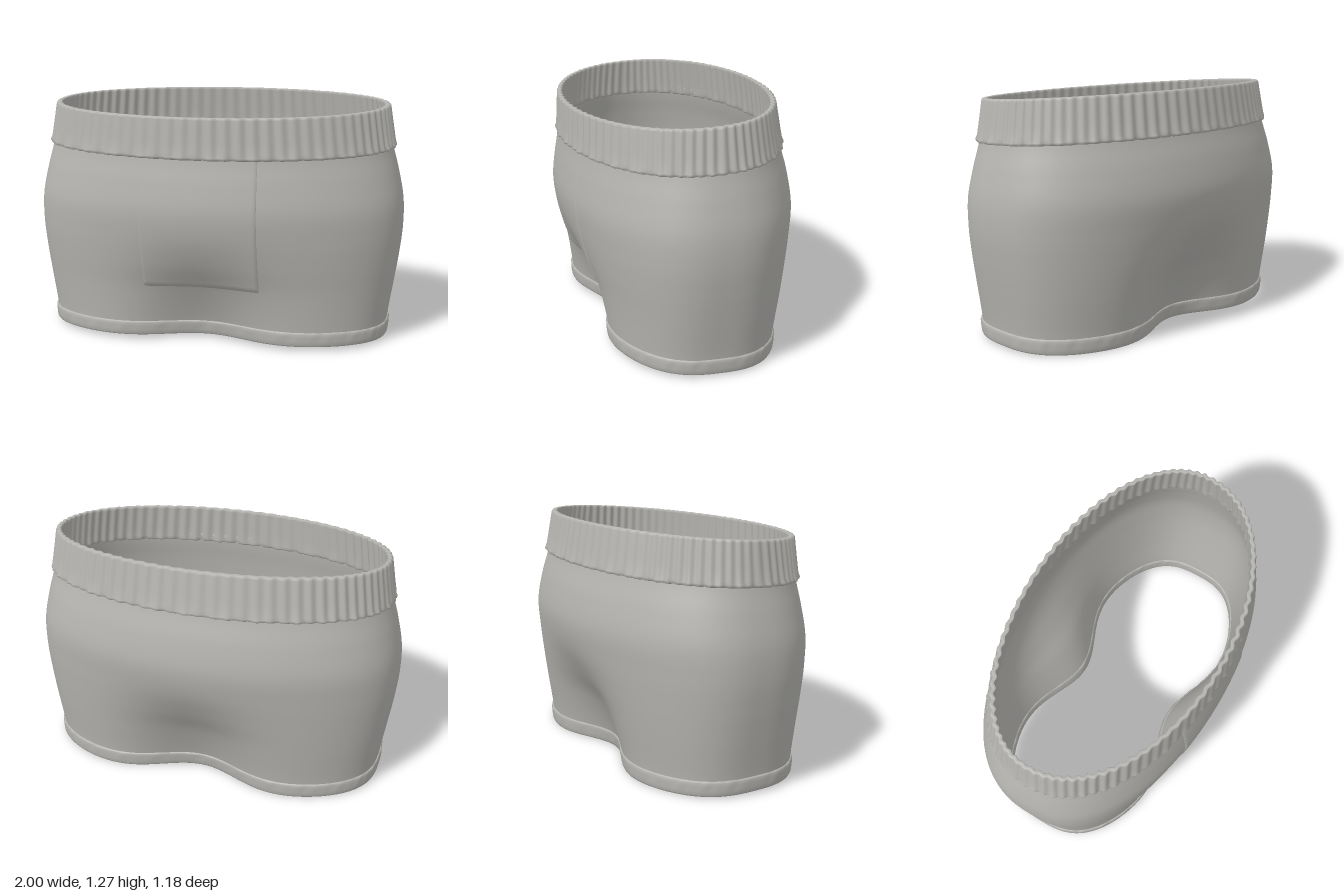
import * as THREE from 'three';

// Cross-section table: height, half width, front depth, back depth, front pinch, back pinch, squareness
const LEVELS = [
  [0.00, 0.925, 0.495, 0.495, 0.185, 0.205, 0.72],
  [0.10, 0.930, 0.500, 0.500, 0.170, 0.190, 0.72],
  [0.30, 0.960, 0.520, 0.530, 0.105, 0.135, 0.74],
  [0.45, 0.982, 0.545, 0.552, 0.045, 0.065, 0.77],
  [0.60, 0.997, 0.567, 0.572, 0.008, 0.012, 0.80],
  [0.75, 0.994, 0.582, 0.588, 0, 0, 0.83],
  [0.90, 0.965, 0.570, 0.566, 0, 0, 0.87],
  [1.03, 0.932, 0.552, 0.530, 0, 0, 0.90],
  [1.25, 0.895, 0.541, 0.490, 0, 0, 0.94],
];

// Smooth interpolation down the table
function section(h) {
  let i = 0;
  while (i < LEVELS.length - 2 && h > LEVELS[i + 1][0]) i++;
  const p = LEVELS[i], q = LEVELS[i + 1];
  const o = LEVELS[Math.max(i - 1, 0)], r = LEVELS[Math.min(i + 2, LEVELS.length - 1)];
  const d = q[0] - p[0], t = (h - p[0]) / d, t2 = t * t, t3 = t2 * t;
  return p.map((v, k) => {
    const m0 = (q[k] - o[k]) / (q[0] - o[0]) * d;
    const m1 = (r[k] - v) / (r[0] - p[0]) * d;
    return (2 * t3 - 3 * t2 + 1) * v + (t3 - 2 * t2 + t) * m0 + (3 * t2 - 2 * t3) * q[k] + (t3 - t2) * m1;
  });
}

// Point on the garment surface, pushed out by off; levels tilt down to the front at the waist
function point(angle, h, off) {
  const [, a, front, back, pinchF, pinchB, power] = section(h);
  const c = Math.cos(angle), s = Math.sin(angle);
  const b = s > 0 ? front : back, pinch = s > 0 ? pinchF : pinchB;
  const x = a * c;
  const crease = Math.max(pinch, 0) * Math.exp(-((x / 0.32) ** 2));
  const z = Math.sign(s) * (b * Math.abs(s) ** power - crease);
  const n = Math.hypot(c / a, s / b);
  return [x + off * c / a / n, h + z * (0.028 - 0.072 * h), z + off * s / b / n];
}

// Mesh through a grid of points, optionally closed around (u) and along the profile (v)
function gridGeometry(nu, nv, closeU, closeV, fn) {
  const pos = [], index = [];
  for (let j = 0; j < nv; j++) for (let i = 0; i < nu; i++) pos.push(...fn(i, j));
  for (let j = 0; j < (closeV ? nv : nv - 1); j++) {
    for (let i = 0; i < (closeU ? nu : nu - 1); i++) {
      const i1 = (i + 1) % nu, j1 = (j + 1) % nv;
      const a = j * nu + i, b = j1 * nu + i, c = j * nu + i1, d = j1 * nu + i1;
      index.push(a, b, c, c, b, d);
    }
  }
  const g = new THREE.BufferGeometry();
  g.setAttribute('position', new THREE.Float32BufferAttribute(pos, 3));
  g.setIndex(index);
  g.computeVertexNormals();
  return g;
}

// Closed shell swept around the body from a profile of [height, offset]
function shell(profile, around, ripple = () => 0) {
  return gridGeometry(around, profile.length, true, true, (i, j) => {
    const angle = i / around * Math.PI * 2, [h, off] = profile[j];
    return point(angle, h, off + ripple(angle, h));
  });
}

export function createModel() {
  const model = new THREE.Group();
  const fabric = new THREE.MeshStandardMaterial({ color: 0xb5b4b0 });
  fabric.name = 'grey knit fabric';
  const add = (name, geometry) => {
    const mesh = new THREE.Mesh(geometry, fabric);
    mesh.name = name;
    model.add(mesh);
  };

  // Main body, outside up and inside down
  const rows = 44, outer = [], inner = [];
  for (let j = 0; j <= rows; j++) {
    const h = 0.05 + j / rows * 1.03;
    outer.push([h, 0]);
    inner.unshift([h, -0.012]);
  }
  add('body', shell([...outer, ...inner], 200));

  // Ribbed waistband
  const ribs = (angle, h) => {
    const strength = 0.0045 + 0.0012 * Math.sin(angle * 5 + 1);
    const pucker = h < 1.06 ? 0.003 * Math.sin(angle * 31) : 0;
    return strength * Math.cos(angle * 80) + pucker;
  };
  add('waistband', shell([
    [1.036, -0.006], [1.030, 0.004], [1.034, 0.012], [1.045, 0.015], [1.06, 0.012], [1.12, 0.012],
    [1.18, 0.012], [1.235, 0.012], [1.244, 0.011], [1.249, 0.007],
    [1.249, -0.007], [1.244, -0.011], [1.235, -0.012], [1.12, -0.014], [1.06, -0.018], [1.045, -0.020], [1.036, -0.016],
  ], 640, ribs));

  // Rolled hem with a slightly puckered seam
  const pucker = (angle, h) => (h > 0.07 ? 0.0025 * Math.sin(angle * 47) * Math.sin(angle * 13) : 0);
  add('hem', shell([
    [0.020, 0.000], [0.022, 0.005], [0.030, 0.009], [0.050, 0.011], [0.075, 0.010], [0.090, 0.009], [0.098, 0.004], [0.100, -0.004],
    [0.098, -0.016], [0.085, -0.018], [0.050, -0.018], [0.028, -0.016], [0.020, -0.012],
  ], 260, pucker));

  // Shallow raised panel on the front, with stepped edges
  const nu = 40, nv = 34;
  add('frontPanel', gridGeometry(nu, nv, false, false, (i, j) => {
    const u = THREE.MathUtils.clamp((i - 1) / (nu - 3), 0, 1);
    const v = THREE.MathUtils.clamp((j - 1) / (nv - 2), 0, 1);
    const edge = i === 0 || i === nu - 1 || j === 0;
    const h = 0.325 + v * 0.705 + (j === 0 ? -0.012 : 0);
    const half = 0.3 + (i === 0 || i === nu - 1 ? 0.006 : 0);
    const angle = Math.acos((1 - 2 * u) * -half / section(h)[1]);
    const lift = 0.004 + 0.005 * Math.max(0, 1 - v * 1.1);
    return point(angle, h, edge ? -0.003 : lift);
  }).toNonIndexed());
  // Panel columns run left to right, so turn its faces outward
  const panel = model.children[model.children.length - 1].geometry;
  for (const key of ['position', 'normal']) {
    const at = panel.attributes[key], p = new THREE.Vector3(), q = new THREE.Vector3();
    for (let k = 0; k < at.count; k += 3) {
      p.fromBufferAttribute(at, k + 1);
      q.fromBufferAttribute(at, k + 2);
      at.setXYZ(k + 1, q.x, q.y, q.z);
      at.setXYZ(k + 2, p.x, p.y, p.z);
    }
    if (key === 'normal') at.array.forEach((n, k) => { at.array[k] = -n; });
  }
  return model;
}
